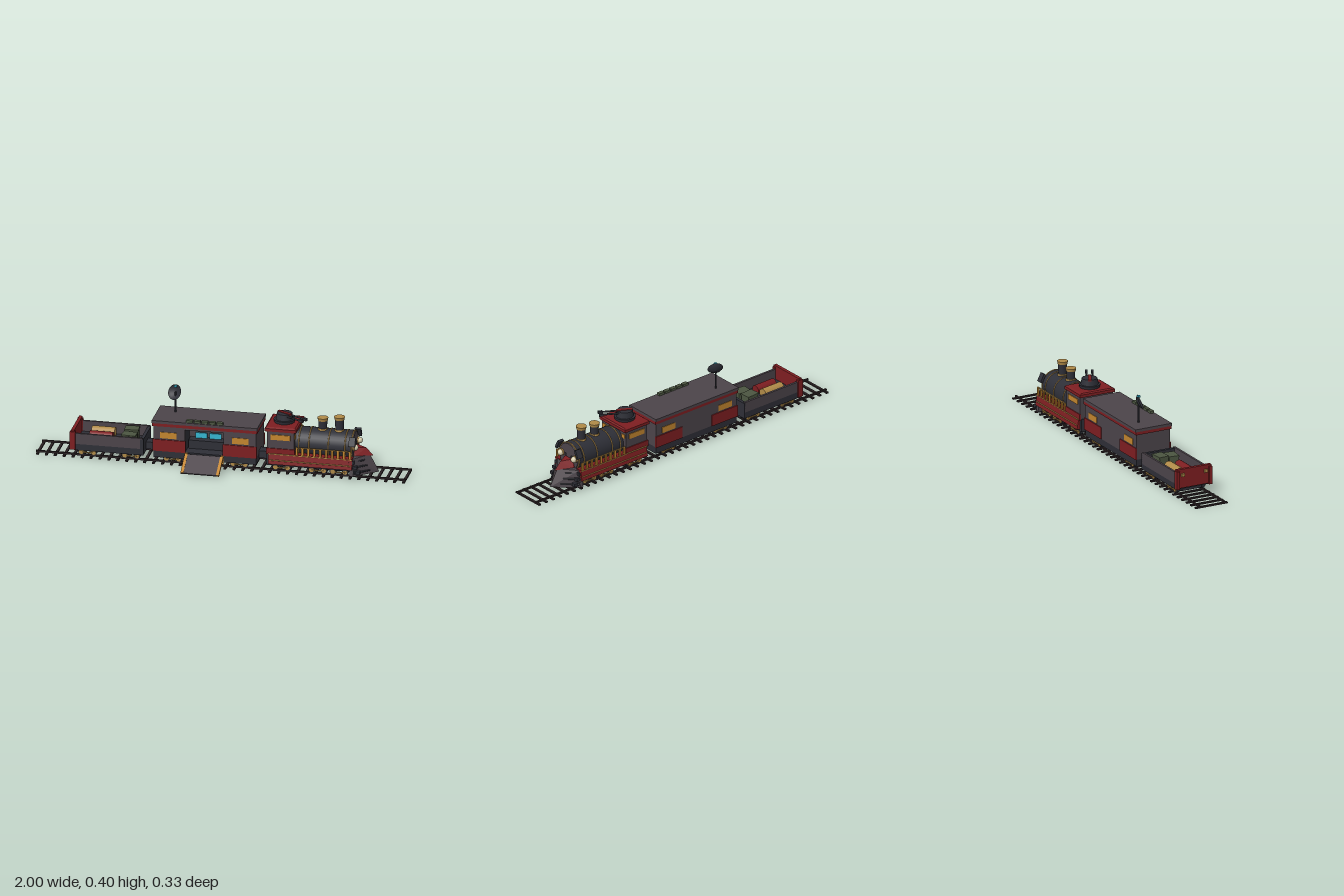
import * as THREE from 'three';
import { ConvexGeometry } from 'three/addons/geometries/ConvexGeometry.js';

const paint = (name, color) => Object.assign(new THREE.MeshStandardMaterial({ color }), { name });

export function createModel() {
  const iron = paint('dark iron', 0x2e2f37);
  const track = paint('track brown', 0x2a2123);
  const plate = paint('grey plate', 0x4c444a);
  const red = paint('red', 0x7e1e21);
  const gold = paint('brass', 0xb08a48);
  const orange = paint('orange', 0xc4862e);
  const cyan = paint('cyan', 0x36b6d2);
  const cream = paint('cream', 0xd8d0b0);
  const green = paint('army green', 0x4c5641);
  iron.side = THREE.DoubleSide;

  const root = new THREE.Group();
  const train = new THREE.Group();
  train.name = 'train';
  train.position.z = -0.054;
  root.add(train);

  const add = (name, mat, geo, x = 0, y = 0, z = 0, parent = train) => {
    const m = new THREE.Mesh(geo, mat);
    m.name = name;
    m.position.set(x, y, z);
    parent.add(m);
    return m;
  };
  // box from its limits on each axis
  const box = (name, mat, x0, x1, y0, y1, z0, z1, parent) =>
    add(name, mat, new THREE.BoxGeometry(x1 - x0, y1 - y0, z1 - z0),
      (x0 + x1) / 2, (y0 + y1) / 2, (z0 + z1) / 2, parent);
  // the same box on both sides of the train
  const pair = (name, mat, x0, x1, y0, y1, z0, z1) => {
    box(name, mat, x0, x1, y0, y1, z0, z1);
    box(name, mat, x0, x1, y0, y1, -z1, -z0);
  };
  // round bar between two points
  const bar = (name, mat, a, b, r0, r1 = r0, sides = 8) => {
    const p = new THREE.Vector3(...a), q = new THREE.Vector3(...b);
    const m = add(name, mat, new THREE.CylinderGeometry(r1, r0, p.distanceTo(q), sides));
    m.position.copy(p).add(q).multiplyScalar(0.5);
    m.quaternion.setFromUnitVectors(new THREE.Vector3(0, 1, 0), q.sub(p).normalize());
    return m;
  };
  const hull = (name, mat, pts) =>
    add(name, mat, new ConvexGeometry(pts.map((p) => new THREE.Vector3(...p))));

  // Track
  for (let i = 0; i < 42; i++) {
    const x = -0.99 + (i * 1.98) / 41;
    box('sleeper', track, x - 0.007, x + 0.007, 0, 0.008, -0.097, 0.097);
  }
  pair('rail', track, -1, 1, 0.008, 0.018, 0.07, 0.08);

  // Bogies
  for (const [cx, half] of [[-0.72, 0.033], [-0.485, 0.033], [-0.26, 0.033], [0.1, 0.033], [0.33, 0.033], [0.525, 0.033], [0.64, 0.033]]) {
    box('bogieFrame', iron, cx - 0.06, cx + 0.06, 0.028, 0.06, -0.06, 0.06);
    for (const x of [cx - half, cx + half]) {
      bar('axle', iron, [x, 0.034, -0.08], [x, 0.034, 0.08], 0.006);
      for (const s of [-1, 1]) {
        bar('wheel', iron, [x, 0.034, s * 0.066], [x, 0.034, s * 0.084], 0.018, 0.018, 16);
        bar('wheelHub', gold, [x, 0.034, s * 0.084], [x, 0.034, s * 0.09], 0.013, 0.013, 14);
      }
    }
    pair('couplingRod', gold, cx - half, cx + half, 0.03, 0.036, 0.089, 0.094);
  }
  // Couplers
  box('wagonCoupler', iron, -0.43, -0.36, 0.055, 0.095, -0.03, 0.03);
  box('engineCoupler', iron, 0.19, 0.27, 0.055, 0.095, -0.03, 0.03);

  // Cargo wagon
  box('wagonFrame', iron, -0.79, -0.415, 0.045, 0.08, -0.1, 0.1);
  pair('wagonSide', plate, -0.79, -0.42, 0.075, 0.14, 0.088, 0.1);
  box('wagonFrontBoard', iron, -0.432, -0.415, 0.075, 0.135, -0.1, 0.1);
  box('wagonTailBoard', red, -0.805, -0.787, 0.055, 0.16, -0.104, 0.104);
  pair('tailPost', red, -0.812, -0.782, 0.05, 0.15, 0.088, 0.107);
  pair('tailLamp', gold, -0.815, -0.805, 0.12, 0.137, 0.06, 0.078);
  bar('brassBarrel', gold, [-0.72, 0.108, -0.037], [-0.595, 0.108, -0.037], 0.028, 0.028, 16);
  bar('redBarrel', red, [-0.72, 0.106, 0.024], [-0.595, 0.106, 0.024], 0.026, 0.026, 16);
  for (const [z, turn, h] of [[-0.037, 0.08, 0.062], [0.03, -0.1, 0.055]]) {
    const c = add('crate', green, new THREE.BoxGeometry(0.07, h, 0.054), -0.505, 0.08 + h / 2, z);
    c.rotation.y = turn;
    add('crateLid', green, new THREE.BoxGeometry(0.076, 0.008, 0.06), 0, h / 2 - 0.004, 0, c);
  }

  // Command carriage shell with a doorway in the front side
  box('carriageFrame', iron, -0.36, 0.195, 0.042, 0.08, -0.1, 0.1);
  box('carriageBackWall', plate, -0.36, 0.195, 0.08, 0.225, -0.102, -0.09);
  for (const [a, b] of [[-0.36, -0.19], [0.02, 0.195]]) {
    box('carriageFrontWall', plate, a, b, 0.08, 0.225, 0.09, 0.102);
    pair('redPanel', red, a - 0.004, b + 0.004, 0.08, 0.145, 0.1, 0.107);
    const c = (a + b) / 2 + (a < -0.2 ? -0.004 : 0.002);
    pair('carriageWindow', orange, c - 0.045, c + 0.045, 0.153, 0.187, 0.1, 0.105);
  }
  for (const [a, b] of [[-0.36, -0.348], [0.183, 0.195]])
    box('carriageEndWall', plate, a, b, 0.08, 0.225, -0.102, 0.102);
  box('doorLintel', plate, -0.19, 0.02, 0.208, 0.225, 0.09, 0.102);
  box('roofTrim', red, -0.367, 0.202, 0.22, 0.238, -0.107, 0.107);
  box('carriageRoof', plate, -0.368, 0.203, 0.237, 0.252, -0.11, 0.11);
  for (let i = 0; i < 5; i++) {
    const x = -0.165 + i * 0.041;
    box('roofPack', green, x - 0.017, x + 0.017, 0.25, 0.265, 0.083, 0.105);
  }
  // Inside the doorway
  box('innerPanel', plate, -0.22, 0.05, 0.08, 0.22, -0.03, -0.02);
  for (const [a, b] of [[-0.22, -0.19], [0.02, 0.05]])
    box('innerSide', iron, a, b, 0.08, 0.22, -0.02, 0.09);
  box('console', iron, -0.185, 0.015, 0.08, 0.127, -0.02, 0.035);
  for (const x of [-0.122, -0.046])
    box('screen', cyan, x - 0.032, x + 0.032, 0.13, 0.16, -0.004, 0.004);
  // Ramp
  const ramp = new THREE.Group();
  ramp.name = 'ramp';
  ramp.position.set(-0.085, 0.04, 0.161);
  ramp.rotation.x = 0.53;
  train.add(ramp);
  box('rampPlate', plate, -0.1, 0.1, -0.004, 0.004, -0.064, 0.064, ramp);
  for (const x of [-0.096, 0.096])
    box('rampEdge', orange, x - 0.008, x + 0.008, -0.005, 0.006, -0.064, 0.064, ramp);
  for (const [a, b] of [[-0.19, -0.175], [0.005, 0.02]])
    box('doorPost', orange, a, b, 0.03, 0.08, 0.1, 0.105);

  // Antenna dish
  bar('dishPole', iron, [-0.27, 0.25, -0.038], [-0.27, 0.365, -0.038], 0.005);
  const bowl = [[0.001, 0], [0.018, 0.003], [0.032, 0.009], [0.042, 0.018]].map((p) => new THREE.Vector2(...p));
  const dish = add('dish', iron, new THREE.LatheGeometry(bowl, 24), -0.266, 0.359, -0.044);
  dish.quaternion.setFromUnitVectors(new THREE.Vector3(0, 1, 0), new THREE.Vector3(-0.42, 0.43, 0.8).normalize());
  box('dishFeed', cyan, -0.277, -0.263, 0.393, 0.402, -0.043, -0.029);

  // Locomotive frame and skirts
  box('engineFrame', iron, 0.25, 0.71, 0.045, 0.115, -0.095, 0.095);
  for (const s of [-1, 1]) {
    hull('sideSkirt', red, [0.262, 0.715].flatMap((x) => [
      [x, 0.115, s * 0.085], [x, 0.115, s * 0.104], [x, 0.058, s * 0.115], [x, 0.058, s * 0.09]]));
    bar('skirtTrim', gold, [0.27, 0.08, s * 0.111], [0.71, 0.08, s * 0.111], 0.003, 0.003, 6);
  }
  pair('runningBoard', red, 0.4, 0.715, 0.108, 0.118, 0.07, 0.108);
  pair('boardTrim', gold, 0.262, 0.715, 0.112, 0.116, 0.104, 0.111);
  // Cab
  box('cab', plate, 0.255, 0.4, 0.11, 0.245, -0.1, 0.1);
  pair('cabPanel', red, 0.25, 0.405, 0.11, 0.145, 0.098, 0.105);
  pair('cabWindow', orange, 0.275, 0.38, 0.193, 0.222, 0.098, 0.104);
  pair('cabFrontWindow', orange, 0.398, 0.404, 0.198, 0.22, 0.066, 0.09);
  hull('cabRoof', red, [-1, 1].flatMap((s) => [
    [0.242, 0.24, s * 0.106], [0.412, 0.24, s * 0.106], [0.242, 0.256, s * 0.106], [0.412, 0.256, s * 0.106],
    [0.25, 0.262, s * 0.095], [0.404, 0.262, s * 0.095]]));
  // Boiler
  const bx = 0.16;
  bar('boiler', iron, [0.4, bx, 0], [0.705, bx, 0], 0.079, 0.079, 32);
  bar('boilerFace', plate, [0.705, bx, 0], [0.712, bx, 0], 0.078, 0.074, 32);
  for (const x of [0.42, 0.475, 0.58, 0.67, 0.705])
    add('boilerBand', gold, new THREE.TorusGeometry(0.079, 0.0035, 6, 36), x, bx, 0).rotation.y = Math.PI / 2;
  // Side railings
  for (const s of [-1, 1]) {
    bar('handRail', gold, [0.41, 0.158, s * 0.104], [0.705, 0.158, s * 0.104], 0.004, 0.004, 6);
    for (let i = 0; i < 10; i++) {
      const x = 0.415 + i * 0.032;
      box('railPost', orange, x - 0.006, x + 0.006, 0.115, 0.158, s * 0.104 - 0.004, s * 0.104 + 0.004);
    }
  }
  // Chimneys
  for (const [x, top] of [[0.535, 0.302], [0.625, 0.314]]) {
    bar('chimney', iron, [x, 0.225, 0], [x, top - 0.01, 0], 0.022, 0.024, 20);
    bar('chimneyBase', gold, [x, 0.232, 0], [x, 0.243, 0], 0.028, 0.025, 20);
    bar('chimneyCap', gold, [x, top - 0.016, 0], [x, top, 0], 0.026, 0.029, 20);
  }
  // Face: lamps, brows and rivets
  for (const s of [-1, 1]) {
    bar('lampRim', gold, [0.7, 0.167, s * 0.055], [0.72, 0.167, s * 0.055], 0.019, 0.019, 20);
    add('lamp', cream, new THREE.SphereGeometry(0.017, 20, 14), 0.722, 0.167, s * 0.055);
    const brow = add('brow', iron, new THREE.BoxGeometry(0.035, 0.05, 0.014), 0.71, 0.205, s * 0.079);
    brow.rotation.x = -s * 0.45;
    for (let i = 0; i < 4; i++)
      add('rivet', iron, new THREE.SphereGeometry(0.003, 6, 4), 0.713, 0.162 + (i % 2) * 0.009, s * (0.018 + i * 0.004));
  }
  // Plough with side spikes, and red snout
  hull('plough', plate, [[0.84, 0.02, 0], [0.79, 0.113, 0], ...[-1, 1].flatMap((s) => [
    [0.7, 0.02, s * 0.107], [0.7, 0.113, s * 0.09], [0.72, 0.02, s * 0.107], [0.715, 0.113, s * 0.09]])]);
  hull('snout', red, [[0.77, 0.15, 0], [0.808, 0.108, 0], ...[-1, 1].flatMap((s) => [
    [0.7, 0.157, s * 0.034], [0.7, 0.113, s * 0.05], [0.725, 0.116, s * 0.048]])]);
  for (const s of [-1, 1])
    for (const [y, x] of [[0.095, 0.77], [0.067, 0.785], [0.04, 0.8]]) {
      bar('spike', iron, [x - 0.075, y, s * 0.104], [x, y, s * 0.04], 0.006, 0.004);
      box('spikeMount', iron, x - 0.085, x - 0.045, y - 0.009, y + 0.009, s * 0.09 - 0.012, s * 0.09 + 0.012);
    }

  // Gun turret on the cab roof
  const turret = new THREE.Group();
  turret.name = 'turret';
  turret.position.set(0.327, 0.26, -0.002);
  turret.rotation.y = -0.5;
  train.add(turret);
  add('turretBase', iron, new THREE.CylinderGeometry(0.058, 0.054, 0.018, 16), 0, 0.009, 0, turret);
  add('turretBody', iron, new THREE.CylinderGeometry(0.042, 0.048, 0.034, 10), 0, 0.034, 0, turret);
  box('turretStripe', red, -0.042, 0.044, 0.045, 0.054, -0.009, 0.009, turret);
  for (const z of [-0.016, 0.016]) {
    const gun = add('gunBarrel', iron, new THREE.CylinderGeometry(0.005, 0.005, 0.11, 8), 0.085, 0.041, z, turret);
    gun.rotation.z = -Math.PI / 2;
    box('gunMuzzle', iron, 0.118, 0.142, 0.034, 0.048, z - 0.007, z + 0.007, turret);
  }
  return root;
}
